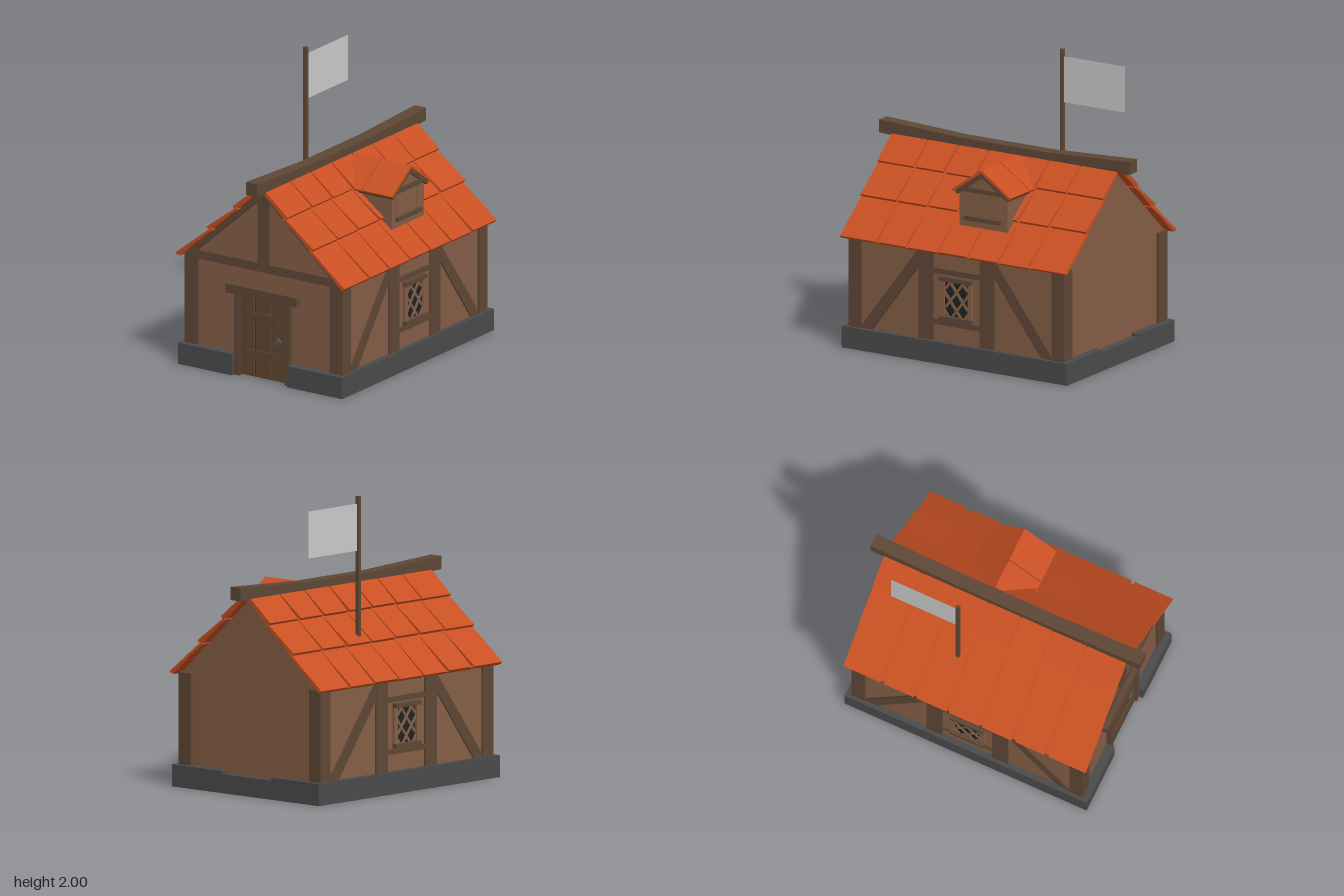
import * as THREE from 'three';

const mat = (name, color) => {
  const m = new THREE.MeshStandardMaterial({ color });
  m.name = name;
  return m;
};

export function createModel() {
  const plaster = mat('plaster', 0x855e46);
  const timber = mat('timber', 0x5e4735);
  const doorWood = mat('doorWood', 0x5e4531);
  const stone = mat('stone', 0x4b4b4b);
  const tile = mat('tile', 0xc95023);
  const dark = mat('darkGlass', 0x1f2326);
  const iron = mat('iron', 0x555550);
  const cloth = mat('cloth', 0xcacaca);
  cloth.side = THREE.DoubleSide;

  let seed = 7;
  const rnd = () => (seed = (seed * 16807) % 2147483647) / 2147483647;

  const group = (parent, name) => {
    const g = new THREE.Group();
    g.name = name;
    parent.add(g);
    return g;
  };
  const add = (parent, name, geo, m) => {
    const mesh = new THREE.Mesh(geo, m);
    mesh.name = name;
    parent.add(mesh);
    return mesh;
  };
  // box given by its limits on each axis
  const box = (parent, name, m, x0, x1, y0, y1, z0, z1) => {
    const b = add(parent, name, new THREE.BoxGeometry(x1 - x0, y1 - y0, z1 - z0), m);
    b.position.set((x0 + x1) / 2, (y0 + y1) / 2, (z0 + z1) / 2);
    return b;
  };
  // board whose upper edge runs from p to q in xy; the q end may be narrowed in z
  const board = (parent, name, m, p, q, t, z0, z1, taper = [0, 0]) => {
    const dx = q[0] - p[0], dy = q[1] - p[1], L = Math.hypot(dx, dy), s = Math.sign(dx);
    const g = new THREE.BoxGeometry(L, t, z1 - z0);
    const pos = g.attributes.position;
    for (let i = 0; i < pos.count; i++) {
      if (pos.getX(i) < 0) continue;
      const z = pos.getZ(i);
      pos.setZ(i, z > 0 ? z - taper[1] : z + taper[0]);
    }
    g.computeVertexNormals();
    const b = add(parent, name, g, m);
    b.rotation.z = Math.atan2(dy, dx);
    b.position.set((p[0] + q[0]) / 2 + dy / L * s * t / 2, (p[1] + q[1]) / 2 - dx / L * s * t / 2, (z0 + z1) / 2);
    return b;
  };
  const extrude = (parent, name, m, pts, z0, z1) => {
    const shape = new THREE.Shape(pts.map(p => new THREE.Vector2(...p)));
    const g = new THREE.ExtrudeGeometry(shape, { depth: z1 - z0, bevelEnabled: false });
    g.translate(0, 0, z0);
    return add(parent, name, g, m);
  };
  // lattice window facing +z, centred on its glass
  const latticeWindow = (parent, w, h, px, py, f) => {
    const g = group(parent, 'latticeWindow');
    const a = w / 2, b = h / 2;
    box(g, 'glass', dark, -a, a, -b, b, 0, 0.006);
    for (const s of [-1, 1]) box(g, 'windowJamb', plaster, s > 0 ? a : -a - f, s > 0 ? a + f : -a, -b, b, 0, 0.02);
    box(g, 'windowHead', timber, -a - f, a + f, b, b + 0.03, 0, 0.035);
    box(g, 'windowSill', timber, -a - f, a + f, -b - 0.03, -b, 0, 0.035);
    for (const s of [-1, 1]) for (let c = -3.5; c < 4; c++) {
      const ends = [c * px - px * b / py, c * px + px * b / py].map(x => Math.max(-a, Math.min(a, x)));
      if (ends[1] - ends[0] < 0.015) continue;
      const [p, q] = ends.map(x => [x, s * py * (c - x / px)]);
      board(g, 'latticeBar', plaster, p, q, 0.018, 0.006, 0.014);
    }
    return g;
  };

  const house = new THREE.Group();
  house.name = 'cottage';

  // foundation, open in the middle towards the door
  box(house, 'foundationRight', stone, 0.22, 0.67, 0, 0.15, -0.9, 0.9);
  box(house, 'foundationLeft', stone, -0.67, -0.23, 0, 0.15, -0.9, 0.9);
  box(house, 'foundationBack', stone, -0.23, 0.22, 0, 0.13, -0.9, -0.84);

  // walls with gables
  extrude(house, 'walls', plaster,
    [[-0.63, 0.1], [0.63, 0.1], [0.63, 0.78], [0, 1.345], [-0.63, 0.78]], -0.84, 0.84);

  // corner posts
  for (const x of [-1, 1]) for (const z of [-1, 1]) {
    const p = box(house, 'cornerPost', timber, -0.053, 0.053, 0.12, 0.775, -0.05, 0.05);
    p.position.x = x * 0.593;
    p.position.z = z * 0.81;
  }

  // front gable framing
  box(house, 'gableBeam', timber, -0.63, 0.63, 0.76, 0.82, 0.8, 0.86);
  box(house, 'kingPost', timber, -0.048, 0.045, 0.8, 1.34, 0.8, 0.862);
  for (const s of [-1, 1]) board(house, 'rafter', timber, [0, 1.35], [s * 0.645, 0.78], 0.04, 0.8, 0.858);

  // door
  const door = group(house, 'door');
  box(door, 'doorBacking', dark, -0.19, 0.18, 0.005, 0.57, 0.835, 0.845);
  for (const [a, b] of [[-0.19, -0.078], [-0.068, 0.054], [0.064, 0.18]])
    box(door, 'doorPlank', doorWood, a, b, 0.01, 0.57, 0.84, 0.857);
  for (const y of [0.135, 0.4]) box(door, 'doorBatten', doorWood, -0.135, 0.12, y, y + 0.065, 0.85, 0.867);
  for (const x of [-0.23, 0.18]) box(door, 'doorJamb', timber, x, x + 0.042, 0, 0.58, 0.83, 0.872);
  box(door, 'doorLintel', timber, -0.3, 0.28, 0.57, 0.635, 0.83, 0.88);
  const knob = box(door, 'doorKnob', iron, 0.098, 0.142, 0.268, 0.312, 0.85, 0.872);
  knob.rotation.z = Math.PI / 4;

  // side framing, drawn facing +z and turned to each side
  for (const s of [-1, 1]) {
    const side = group(house, 'sideFraming');
    side.rotation.y = s * Math.PI / 2;
    for (const m of [-1, 1]) {
      const post = box(side, 'sidePost', timber, -0.057, 0.057, 0.12, 0.77, 0.6, 0.645);
      post.position.x = m * 0.243;
      extrude(side, 'brace', timber, (m > 0 ? [0, 1, 2, 3, 4] : [4, 3, 2, 1, 0]).map(i =>
        [[m * 0.29, 0.665], [m * 0.68, 0.14], [m * 0.765, 0.14], [m * 0.765, 0.16], [m * 0.31, 0.765]][i]), 0.61, 0.64);
    }
    box(side, 'upperRail', timber, -0.19, 0.19, 0.62, 0.657, 0.6, 0.643);
    box(side, 'lowerRail', timber, -0.19, 0.19, 0.265, 0.302, 0.6, 0.643);
    latticeWindow(side, 0.187, 0.245, 0.1, 0.13, 0.033).position.set(0, 0.457, 0.63);
  }

  // roof halves: thin underlay and three overlapping rows of tiles
  const seams = [-0.9, -0.61, -0.362, -0.12, 0.12, 0.365, 0.61, 0.9];
  const rows = [[[0, 1.385], [0.225, 1.197]], [[0.195, 1.197], [0.437, 1.012]], [[0.405, 1.01], [0.69, 0.78]]];
  for (const s of [1, -1]) {
    const half = group(house, 'roofHalf');
    if (s < 0) half.rotation.y = Math.PI;
    board(half, 'roofUnderlay', tile, [0, 1.367], [0.672, 0.772], 0.012, -0.895, 0.895);
    for (const [p, q] of rows) for (let i = 0; i < 7; i++) {
      const cut = [i ? 0.003 + rnd() * 0.012 : 0, i < 6 ? 0.003 + rnd() * 0.012 : 0];
      board(half, 'roofTile', tile, p, [q[0], q[1] + rnd() * 0.006], 0.02,
        seams[i] + (i ? 0.002 : 0), seams[i + 1] - (i < 6 ? 0.002 : 0), cut);
    }
  }

  // ridge beam with raised ends
  const ridge = extrude(house, 'ridgeBeam', timber,
    [[-1, 1.34], [-0.35, 1.31], [0.35, 1.31], [1, 1.34], [1, 1.43], [0.35, 1.4], [-0.35, 1.4], [-1, 1.43]], -0.047, 0.047);
  ridge.rotation.y = Math.PI / 2;

  // dormer on the right slope, drawn facing +z
  const dormer = group(house, 'dormer');
  dormer.rotation.y = Math.PI / 2;
  dormer.position.z = -0.125;
  extrude(dormer, 'dormerWall', plaster,
    [[-0.19, 0.94], [0.19, 0.94], [0.19, 1.19], [0, 1.325], [-0.19, 1.19]], 0.15, 0.5);
  for (const s of [-1, 1]) {
    board(dormer, 'dormerTile', tile, [0, 1.355], [s * 0.235, 1.19], 0.018, 0.07, 0.282);
    board(dormer, 'dormerTile', tile, [0, 1.355], [s * 0.235, 1.19], 0.018, 0.289, 0.53);
    board(dormer, 'dormerRafter', timber, [0, 1.335], [s * 0.218, 1.183], 0.03, 0.2, 0.52);
  }
  latticeWindow(dormer, 0.21, 0.17, 0.11, 0.09, 0.04).position.set(0, 1.1, 0.485);

  // flagpole and flag
  box(house, 'flagpole', timber, -0.392, -0.366, 0.98, 2, -0.205, -0.179);
  const flag = add(house, 'flag', new THREE.PlaneGeometry(0.485, 0.32), cloth);
  flag.rotation.y = Math.PI / 2;
  flag.position.set(-0.379, 1.79, -0.448);

  return house;
}
